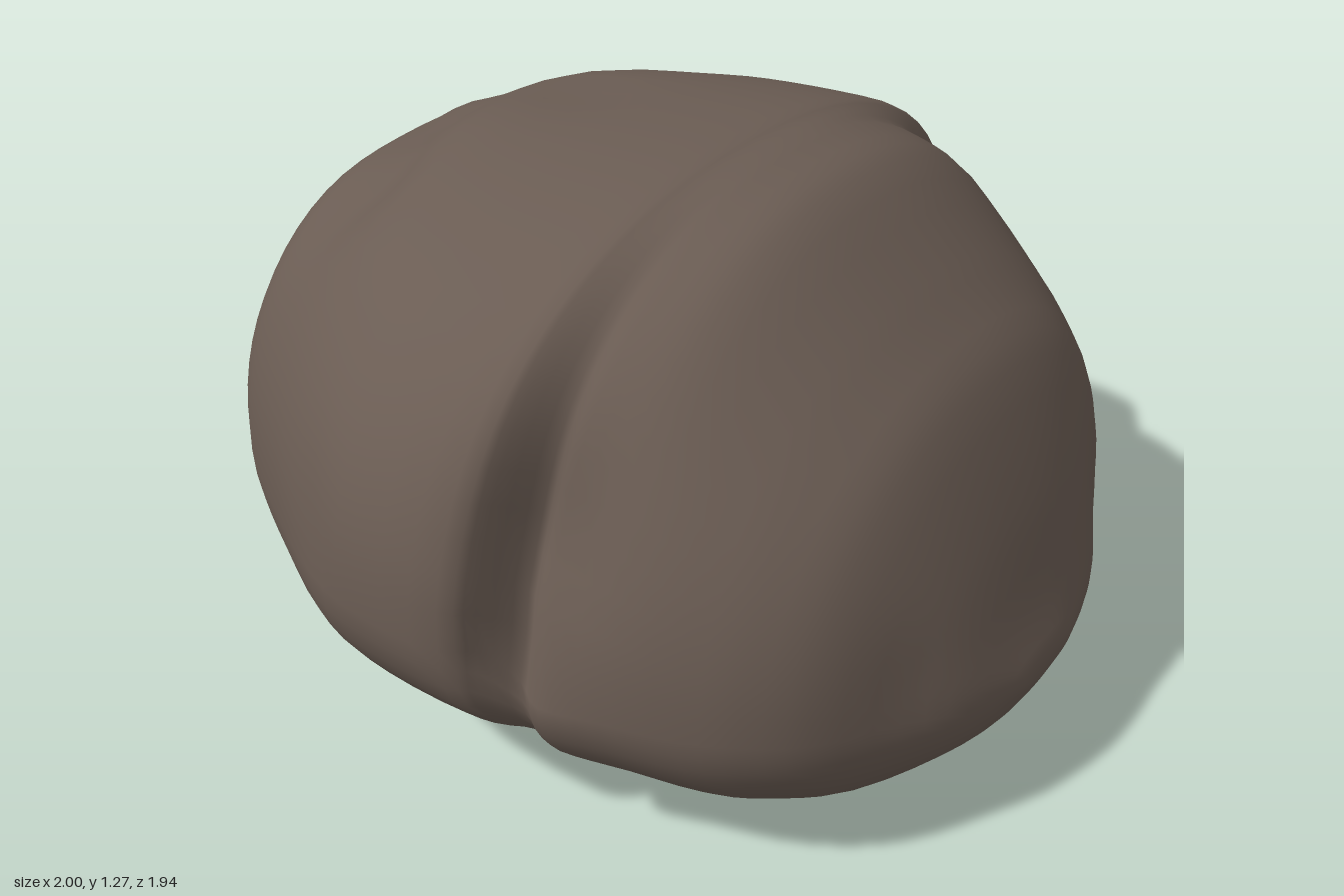
import * as THREE from 'three';

// Cross-sections along x: [x, bottom y, top y, half depth z, y of the widest point]
const SECTIONS = [
  [-1, 0.45, 0.58, 0.03, 0.51], [-0.95, 0.22, 0.69, 0.25, 0.48], [-0.85, 0.08, 0.86, 0.47, 0.47],
  [-0.71, 0.03, 1.07, 0.6, 0.49], [-0.6, 0, 1.13, 0.68, 0.51], [-0.4, 0.025, 1.215, 0.8, 0.53],
  [-0.17, 0.045, 1.245, 0.925, 0.55], [0, 0.055, 1.26, 0.965, 0.56], [0.2, 0.065, 1.275, 0.96, 0.55],
  [0.25, 0.06, 1.27, 0.92, 0.53], [0.3, 0.05, 1.268, 0.845, 0.45], [0.35, 0.04, 1.26, 0.85, 0.42],
  [0.46, 0.02, 1.23, 0.8, 0.41], [0.6, 0, 1.1, 0.74, 0.4], [0.7, 0.02, 1, 0.685, 0.4],
  [0.8, 0.055, 0.89, 0.59, 0.39], [0.9, 0.13, 0.66, 0.42, 0.37], [0.96, 0.2, 0.46, 0.27, 0.34],
  [1, 0.29, 0.35, 0.1, 0.32],
];

// Dents on both flanks: centre, radius along each axis, depth
const FLANK_DENTS = [
  { at: [0.34, 0.75, 0.76], size: [0.13, 0.22, 0.3], depth: 0.08 },
  { at: [0.28, 0.53, 0.86], size: [0.08, 0.07, 0.3], depth: 0.03 },
  { at: [-0.17, 0.68, 0.9], size: [0.09, 0.15, 0.2], depth: 0.012 },
  { at: [0.88, 0.45, 0.4], size: [0.1, 0.12, 0.1], depth: 0.015 },
];
// Broken ledge near the top
const LEDGE_DENTS = [
  { at: [-0.5, 1.1, 0.36], size: [0.1, 0.2, 0.16], depth: 0.05 },
  { at: [-0.6, 1.12, 0.08], size: [0.1, 0.2, 0.18], depth: 0.04 },
  { at: [-0.3, 1.23, -0.08], size: [0.16, 0.2, 0.08], depth: 0.02 },
];
const DENTS = [
  ...FLANK_DENTS,
  ...FLANK_DENTS.map((d) => ({ ...d, at: [d.at[0], d.at[1], -d.at[2]] })),
  ...LEDGE_DENTS,
];

function applyDents(p, centre) {
  const inward = centre.clone().sub(p).normalize();
  let push = 0;
  for (const { at, size, depth } of DENTS) {
    const d = ((p.x - at[0]) / size[0]) ** 2 + ((p.y - at[1]) / size[1]) ** 2 + ((p.z - at[2]) / size[2]) ** 2;
    push += depth * Math.exp(-d);
  }
  return p.addScaledVector(inward, push);
}

// Smooth blend through neighbouring sections
function sectionAt(u) {
  const end = SECTIONS.length - 1;
  const i = Math.min(Math.floor(u), end - 1), t = u - i;
  const [a, b, c, d] = [Math.max(i - 1, 0), i, i + 1, Math.min(i + 2, end)].map((k) => SECTIONS[k]);
  return b.map((v, k) => {
    const m0 = (c[k] - a[k]) / 2, m1 = (d[k] - v) / 2, rise = c[k] - v;
    return v + t * (m0 + t * (3 * rise - 2 * m0 - m1 + t * (m0 + m1 - 2 * rise)));
  });
}

function boulderGeometry(around = 64, sub = 3) {
  const positions = [], index = [];
  const rings = (SECTIONS.length - 1) * sub + 1;
  const centre = new THREE.Vector3(0, 0.55, 0);

  for (let r = 0; r < rings; r++) {
    const [x, bottom, top, depth, wide] = sectionAt(r / sub);
    for (let j = 0; j < around; j++) {
      const a = (j / around) * Math.PI * 2;
      const s = Math.sin(a), c = Math.cos(a);
      // The upper half is a little squarer than an ellipse
      const power = s > 0 ? 0.9 : 1;
      const y = wide + (s > 0 ? (top - wide) * s ** power : (wide - bottom) * s);
      const z = Math.sign(c) * Math.abs(c) ** power * depth;
      positions.push(...applyDents(new THREE.Vector3(x, y, z), centre).toArray());
    }
  }
  for (let r = 0; r < rings - 1; r++) {
    for (let j = 0; j < around; j++) {
      const a = r * around + j, b = r * around + ((j + 1) % around);
      index.push(a, a + around, b, b, a + around, b + around);
    }
  }

  // Close both ends with a fan
  const first = SECTIONS[0], last = SECTIONS[SECTIONS.length - 1];
  const left = positions.length / 3, right = left + 1, lastRing = (rings - 1) * around;
  positions.push(first[0], first[4], 0, last[0], last[4], 0);
  for (let j = 0; j < around; j++) {
    const k = (j + 1) % around;
    index.push(left, j, k, right, lastRing + k, lastRing + j);
  }

  const geometry = new THREE.BufferGeometry();
  geometry.setAttribute('position', new THREE.Float32BufferAttribute(positions, 3));
  geometry.setIndex(index);
  geometry.computeVertexNormals();
  return geometry;
}

export function createModel() {
  const group = new THREE.Group();
  group.name = 'boulder';
  const stone = new THREE.MeshStandardMaterial({ color: 0x6a5c53 });
  stone.name = 'brown stone';
  const rock = new THREE.Mesh(boulderGeometry(), stone);
  rock.name = 'rock';
  group.add(rock);
  return group;
}
